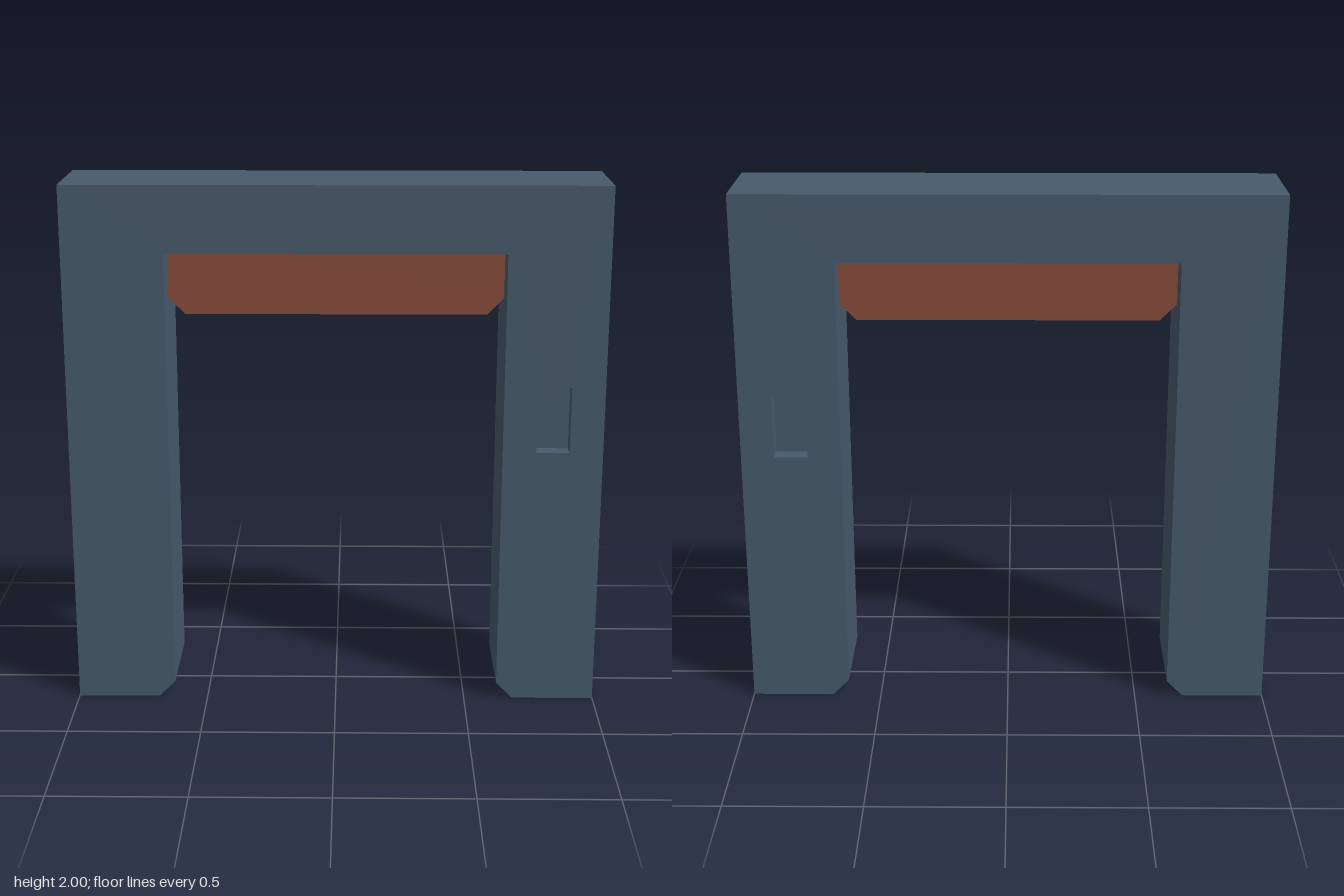
import * as THREE from 'three';

const DEPTH = 0.375;   // thickness of the frame
const INNER = 0.625;   // half width of the opening
const LINTEL = 1.75;   // underside of the top beam
const BEVEL = 0.0625;  // size of every cut corner

const slate = new THREE.MeshStandardMaterial({ color: 0x485b6c });
slate.name = 'slate blue';
const rust = new THREE.MeshStandardMaterial({ color: 0x884c3c });
rust.name = 'rust red';

// Extrude an outline so that it is centred on z = 0
function slab(name, shape, depth, material) {
  const geometry = new THREE.ExtrudeGeometry(shape, { depth, bevelEnabled: false });
  geometry.translate(0, 0, -depth / 2);
  const mesh = new THREE.Mesh(geometry, material);
  mesh.name = name;
  return mesh;
}

const outline = (points) => new THREE.Shape(points.map(([x, y]) => new THREE.Vector2(x, y)));

export function createModel() {
  const model = new THREE.Group();
  model.name = 'gateway';

  // Frame: two legs with cut inner feet, joined by a top beam
  const frame = outline([
    [-1, 0], [-INNER - BEVEL, 0], [-INNER, BEVEL], [-INNER, LINTEL],
    [INNER, LINTEL], [INNER, BEVEL], [INNER + BEVEL, 0], [1, 0],
    [1, 2], [-1, 2],
  ]);

  // Slot in one leg, filled in the middle to leave a recess on both sides
  const slot = { x0: 0.75, x1: 0.875, y0: 1, y1: 1.25 };
  frame.holes.push(outline([
    [slot.x0, slot.y0], [slot.x0, slot.y1], [slot.x1, slot.y1], [slot.x1, slot.y0],
  ]));
  model.add(slab('frame', frame, DEPTH, slate));

  const panel = new THREE.Mesh(
    new THREE.BoxGeometry(slot.x1 - slot.x0, slot.y1 - slot.y0, DEPTH - 2 * 0.0625), slate);
  panel.name = 'recessPanel';
  panel.position.set((slot.x0 + slot.x1) / 2, (slot.y0 + slot.y1) / 2, 0);
  model.add(panel);

  // Raised door hanging below the beam, with cut lower corners
  const bottom = 1.5;
  const door = outline([
    [-INNER, LINTEL], [-INNER, bottom + BEVEL], [-INNER + BEVEL, bottom],
    [INNER - BEVEL, bottom], [INNER, bottom + BEVEL], [INNER, LINTEL],
  ]);
  model.add(slab('door', door, 0.125, rust));

  return model;
}
